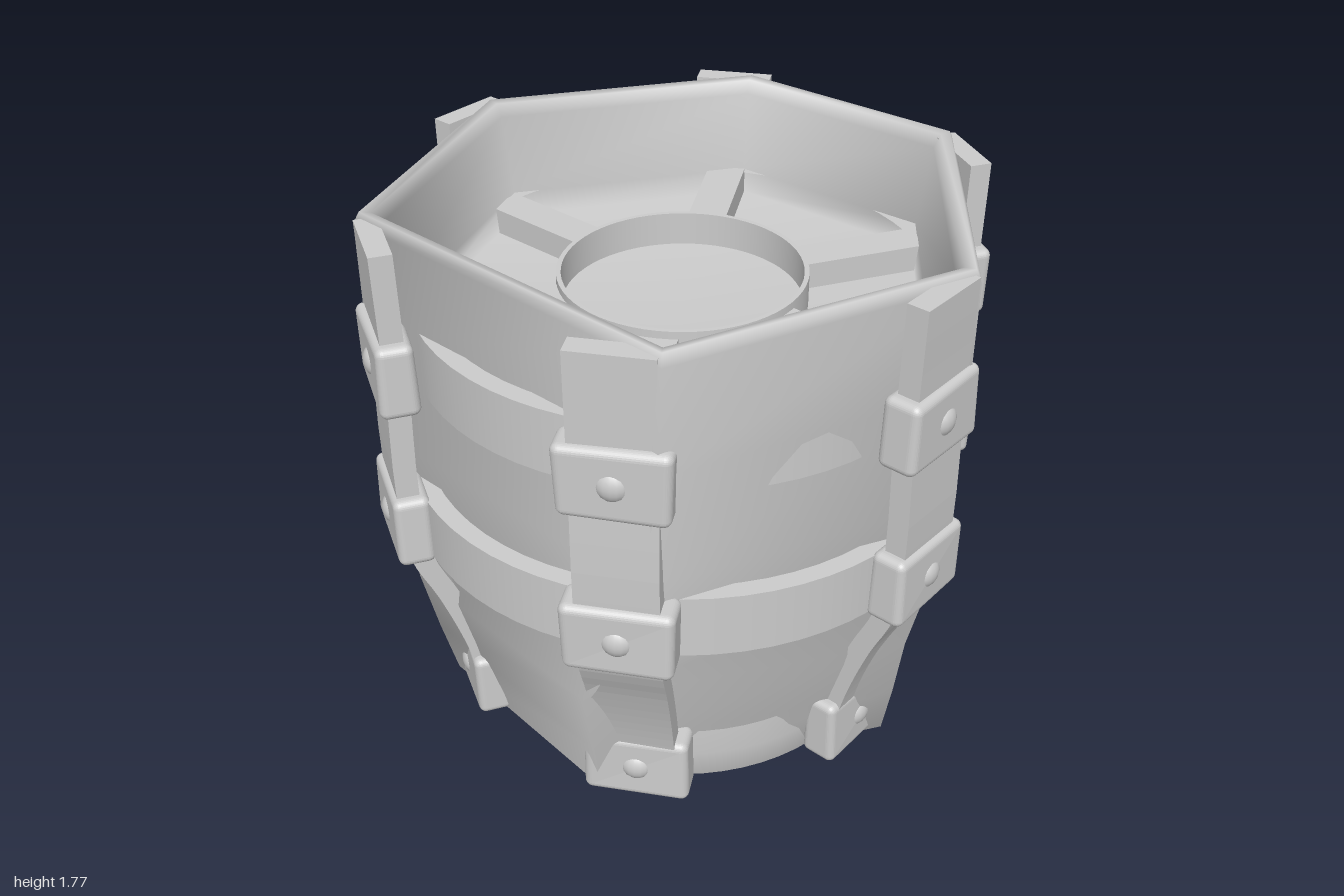
import * as THREE from 'three';
import { RoundedBoxGeometry } from 'three/addons/geometries/RoundedBoxGeometry.js';

const grey = new THREE.MeshStandardMaterial({ color: 0xcccccc, side: THREE.DoubleSide });
const { degToRad } = THREE.MathUtils;

function add(parent, name, geometry, x = 0, y = 0, z = 0) {
  const mesh = new THREE.Mesh(geometry, grey);
  mesh.name = name;
  mesh.position.set(x, y, z);
  parent.add(mesh);
  return mesh;
}

const lathe = (points) => new THREE.LatheGeometry(points.map(([r, y]) => new THREE.Vector2(r, y)), 64);

// Uneven hexagonal shell, lofted up the outside, over the rim and into the flat recessed top
function shellGeometry() {
  // Each corner: angle and radius at the top, at the hip and at the foot
  const corners = [
    [8, 0.975, -9, 0.875, -9, 0.77], [68, 0.968, 62, 0.9, 67, 0.805], [126.5, 0.958, 121, 0.84, 121, 0.73],
    [176, 0.925, 185, 0.88, 184, 0.78], [235, 0.935, 239, 0.84, 239, 0.73], [291.5, 0.968, 296, 0.9, 292, 0.8],
  ];
  // Each row: height, scale, share of the hip, share of the foot
  const rows = [
    [0, 1, 0, 1], [0.22, 1, 0.5, 0.5], [0.47, 1, 1, 0], [0.72, 1, 0.4, 0],
    [1.0, 1, 0.2, 0], [1.4, 1.01, 0.05, 0], [1.74, 1.005, 0, 0], [1.775, 0.985, 0, 0],
    [1.77, 0.95, 0, 0], [1.73, 0.925, 0, 0], [1.47, 0.88, 0, 0], [1.39, 0.87, 0, 0], [1.39, 0.001, 0, 0],
  ];
  const pos = [], index = [], n = corners.length;
  rows.forEach(([y, scale, hip, foot], j) => {
    const mix = (a, b, c) => a * (1 - hip - foot) + b * hip + c * foot;
    corners.forEach(([topA, topR, hipA, hipR, footA, footR], i) => {
      const t = degToRad(mix(topA, hipA, footA)), r = mix(topR, hipR, footR) * scale;
      pos.push(Math.sin(t) * r, y, Math.cos(t) * r);
      if (j === rows.length - 1) return;
      const p = j * n + i, q = j * n + (i + 1) % n;
      index.push(p, q, q + n, p, q + n, p + n);
    });
  });
  const g = new THREE.BufferGeometry();
  g.setAttribute('position', new THREE.Float32BufferAttribute(pos, 3));
  g.setIndex(index);
  g.computeVertexNormals();
  return g;
}

// Upright strap: side profile following the belly, extruded to its width
function strapGeometry() {
  const outer = new THREE.CatmullRomCurve3([
    [0.965, 1.76], [0.96, 1.36], [0.965, 0.95], [0.945, 0.7], [0.87, 0.52], [0.81, 0.35], [0.77, 0.2], [0.745, 0.04],
  ].map(([r, y]) => new THREE.Vector3(r, y, 0))).getPoints(28);
  const shape = new THREE.Shape();
  outer.forEach((p, i) => (i ? shape.lineTo(p.x, p.y) : shape.moveTo(p.x, p.y)));
  outer.reverse().forEach((p) => shape.lineTo(p.x - 0.07, p.y));
  const g = new THREE.ExtrudeGeometry(shape, { depth: 0.25, bevelEnabled: false });
  return g.translate(0, 0, -0.125).rotateY(-Math.PI / 2);
}

// Hand-beaten clamp: rounded block with gently uneven faces
function clampGeometry(seed) {
  const g = new RoundedBoxGeometry(0.33, 0.235, 0.12, 4, 0.025);
  const p = g.attributes.position;
  for (let i = 0; i < p.count; i++) {
    const x = p.getX(i), y = p.getY(i), z = p.getZ(i);
    p.setXYZ(i,
      x * (1 + 0.03 * Math.sin(9 * y + seed)),
      y * (1 + 0.02 * Math.sin(11 * x + seed * 2)),
      z * (1 + 0.06 * Math.sin(8 * x + 10 * y + seed)));
  }
  g.computeVertexNormals();
  return g;
}

export function createModel() {
  const model = new THREE.Group();
  model.name = 'barrel';
  add(model, 'shell', shellGeometry());

  // Round hoops that show where the flat sides cut inward
  const hoop = (name, r, y) => {
    const [a, b, inner] = [y - 0.105, y + 0.105, r - 0.06];
    [[[inner, a], [r, a]], [[r, a], [r, b]], [[r, b], [inner, b]]].forEach((side) => add(model, name, lathe(side)));
  };
  hoop('upperHoop', 0.843, 1.365);
  hoop('lowerHoop', 0.89, 0.815);

  // Base ring with a shallow recessed underside
  add(model, 'base', lathe([[0, 0.035], [0.64, 0.035], [0.65, 0], [0.67, 0], [0.68, 0.1], [0.68, 0.2]]));

  // Raised ring in the middle of the top
  const ring = [[0.375, 1.38], [0.375, 1.5], [0.39, 1.5], [0.39, 1.38]];
  for (let i = 0; i < 3; i++) add(model, 'centreRing', lathe([ring[i], ring[i + 1]]));

  // Six ribs: strap, clamps with rivets, and spokes
  const strap = strapGeometry();
  const rivet = new THREE.SphereGeometry(0.05, 16, 10).scale(1, 1, 0.7);
  for (let i = 0; i < 6; i++) {
    const rib = new THREE.Group();
    rib.name = 'rib';
    rib.rotation.y = i * Math.PI / 3;
    model.add(rib);
    add(rib, 'strap', strap);
    [[1.36, 0.925], [0.815, 0.925], [0.122, 0.72]].forEach(([y, r], k) => {
      add(rib, 'clamp', clampGeometry(i * 3 + k), 0, y, r);
      add(rib, 'rivet', rivet, 0, y, r + 0.04);
    });
    add(rib, 'topSpoke', new THREE.BoxGeometry(0.125, 0.09, 0.42), 0, 1.43, 0.59);
    add(rib, 'underSpoke', new THREE.BoxGeometry(0.125, 0.05, 0.16), 0, 0.045, 0.52);
  }
  return model;
}
